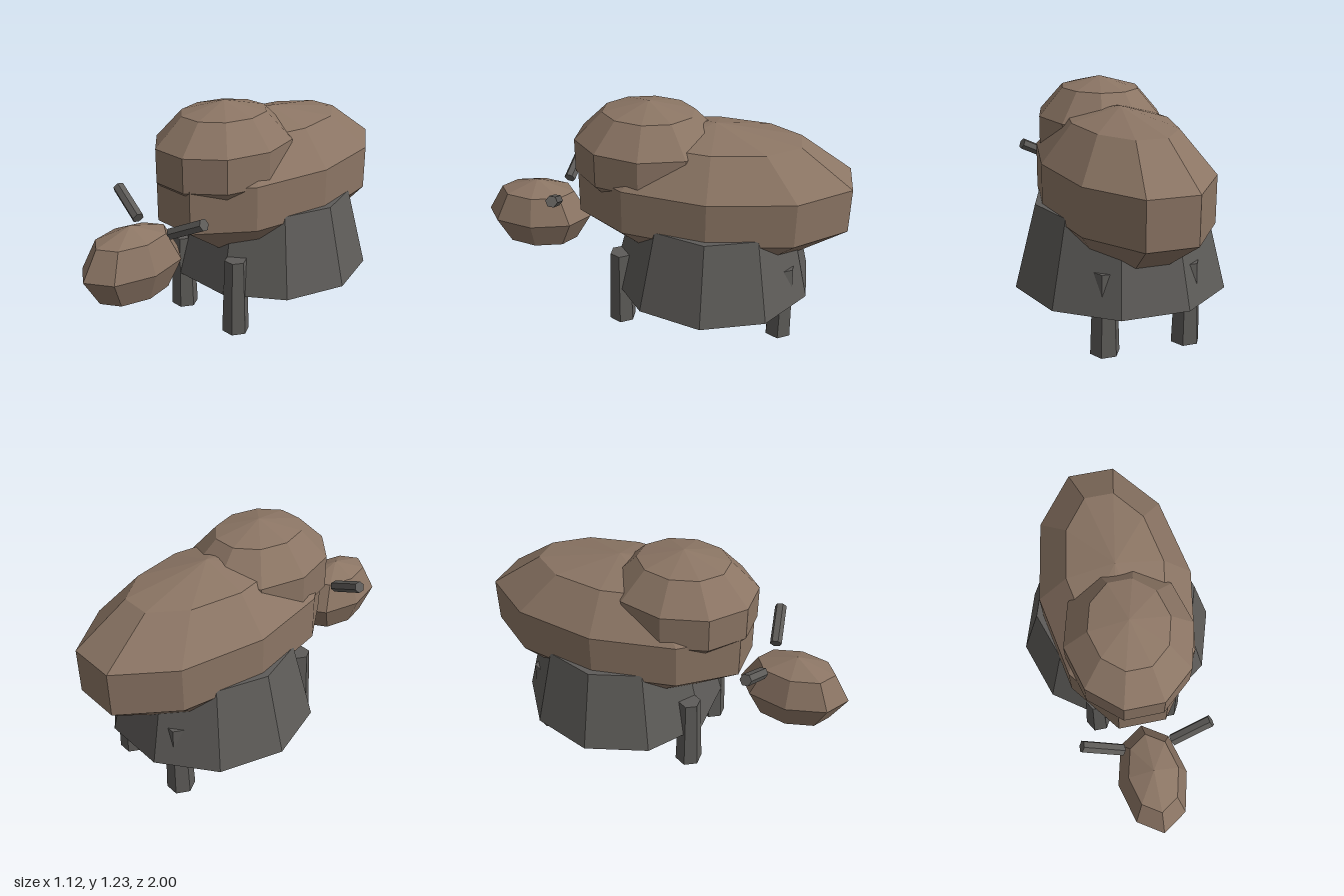
import * as THREE from 'three';

function flatMaterial(name, color) {
  const m = new THREE.MeshStandardMaterial({ color, flatShading: true });
  m.name = name;
  return m;
}

export function createModel() {
  const group = new THREE.Group();
  const fur = flatMaterial('brown fur', 0x8b7564);
  const dark = flatMaterial('dark grey', 0x5e5c59);

  function add(name, geometry, material, x, y, z) {
    const mesh = new THREE.Mesh(geometry, material);
    mesh.name = name;
    mesh.position.set(x, y, z);
    group.add(mesh);
    return mesh;
  }

  // Faceted ellipsoid with radii rx, ry, rz
  const ellipsoid = (rx, ry, rz, around, rings) =>
    new THREE.SphereGeometry(1, around, rings).scale(rx, ry, rz);

  // Upright prism with a corner on the x axis
  const prism = (top, bottom, height, sides) =>
    new THREE.CylinderGeometry(top, bottom, height, sides).rotateY(Math.PI / 2);

  // Body, shoulder hump and head
  add('body', ellipsoid(0.434, 0.39, 0.79, 10, 5), fur, 0, 0.74, -0.285);
  add('shoulderHump', ellipsoid(0.352, 0.295, 0.42, 10, 5), fur, 0, 0.935, 0.07);
  add('head', ellipsoid(0.187, 0.21, 0.295, 8, 4), fur, 0, 0.51, 0.705);

  // Flared skirt of shaggy belly hair
  add('bellySkirt', prism(0.45, 0.562, 0.435, 10), dark, 0, 0.4375, -0.285);

  for (const side of [1, -1]) {
    const label = side > 0 ? 'left' : 'right';

    // Tapered six-sided legs
    for (const [end, z] of [['Front', 0.19], ['Back', -0.685]]) {
      add(`${label}${end}Leg`, prism(0.06, 0.075, 0.425, 6), dark, side * 0.211, 0.2125, z);
    }

    // Horns slanting up and out
    const base = new THREE.Vector3(side * 0.132, 0.67, 0.557);
    const tip = new THREE.Vector3(side * 0.337, 0.774, 0.522);
    const axis = tip.clone().sub(base);
    const horn = add(`${label}Horn`, new THREE.CylinderGeometry(0.032, 0.032, axis.length(), 6), dark, 0, 0, 0);
    horn.position.copy(base).add(tip).multiplyScalar(0.5);
    horn.quaternion.setFromUnitVectors(new THREE.Vector3(0, 1, 0), axis.normalize());
  }

  return group;
}
